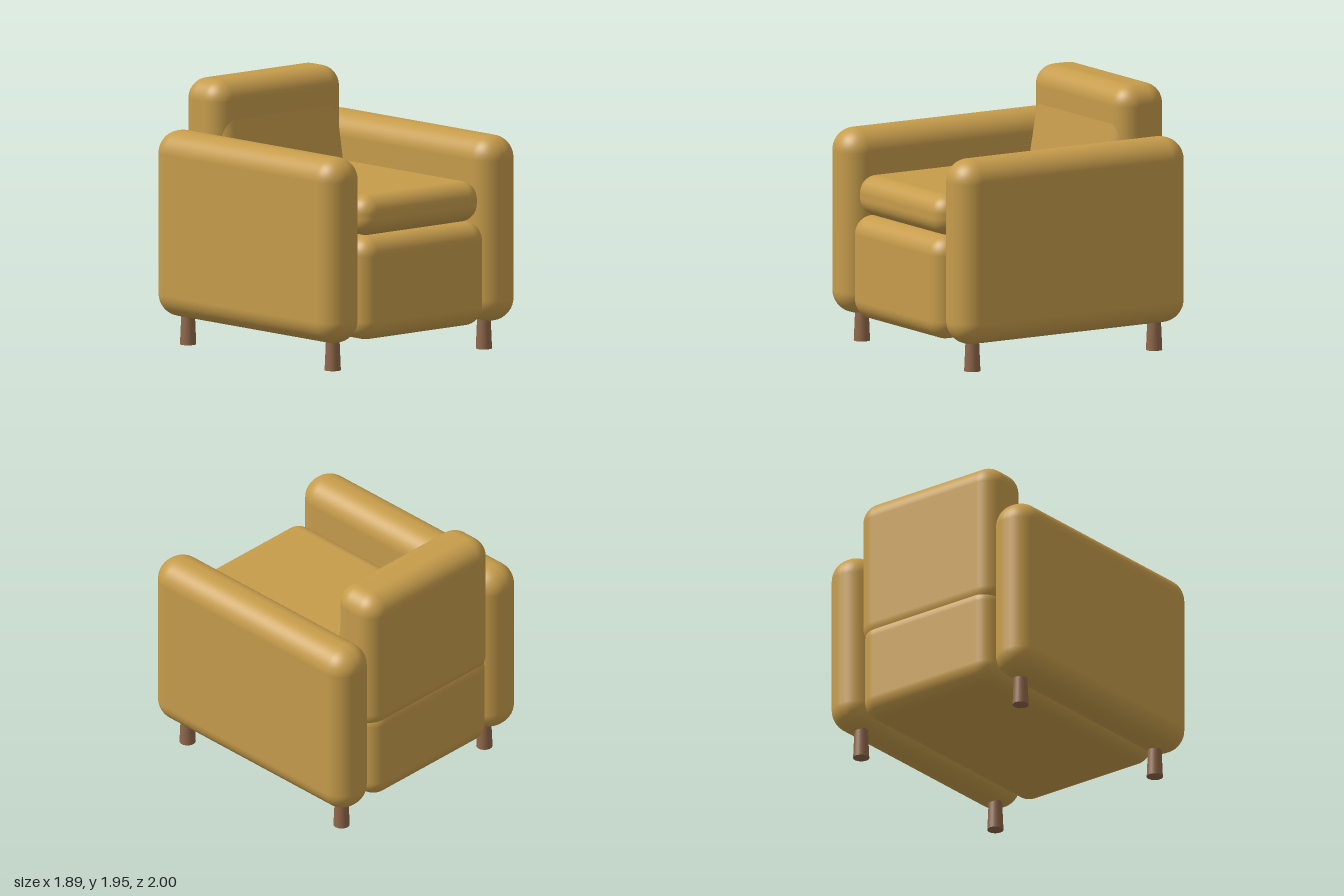
import * as THREE from 'three';
import { RoundedBoxGeometry } from 'three/addons/geometries/RoundedBoxGeometry.js';

export function createModel() {
  const model = new THREE.Group();
  model.name = 'armchair';

  const upholstery = new THREE.MeshStandardMaterial({ color: 0xc69c4b });
  upholstery.name = 'mustard upholstery';
  const wood = new THREE.MeshStandardMaterial({ color: 0x8f674a });
  wood.name = 'brown wood';

  // Soft padded block given by its size, centre and edge radius
  function pad(name, [w, h, d], [x, y, z], radius) {
    const mesh = new THREE.Mesh(new RoundedBoxGeometry(w, h, d, 8, radius), upholstery);
    mesh.name = name;
    mesh.position.set(x, y, z);
    model.add(mesh);
    return mesh;
  }

  // Body
  pad('seatBase', [1.24, 0.77, 2], [0, 0.595, 0], 0.14);
  pad('seatCushion', [1.18, 0.3, 1.54], [0, 1.13, 0.2], 0.13);
  pad('backrest', [1.28, 1.15, 0.41], [0, 1.375, -0.795], 0.15);

  // Back cushion leaning into the backrest
  const backCushion = pad('backCushion', [1.2, 0.92, 0.25], [0, 1.33, -0.658], 0.12);
  backCushion.rotation.x = -THREE.MathUtils.degToRad(10);

  // Arms, and legs that widen towards the floor
  const legGeometry = new THREE.CylinderGeometry(0.05, 0.06, 0.23, 24);
  for (const side of [-1, 1]) {
    const label = side > 0 ? 'left' : 'right';
    pad(label + 'Arm', [0.355, 1.38, 2], [side * 0.768, 0.9, 0], 0.168);

    for (const end of [-1, 1]) {
      const leg = new THREE.Mesh(legGeometry, wood);
      leg.name = label + (end > 0 ? 'FrontLeg' : 'BackLeg');
      leg.position.set(side * 0.745, 0.115, end * 0.795);
      model.add(leg);
    }
  }

  return model;
}
